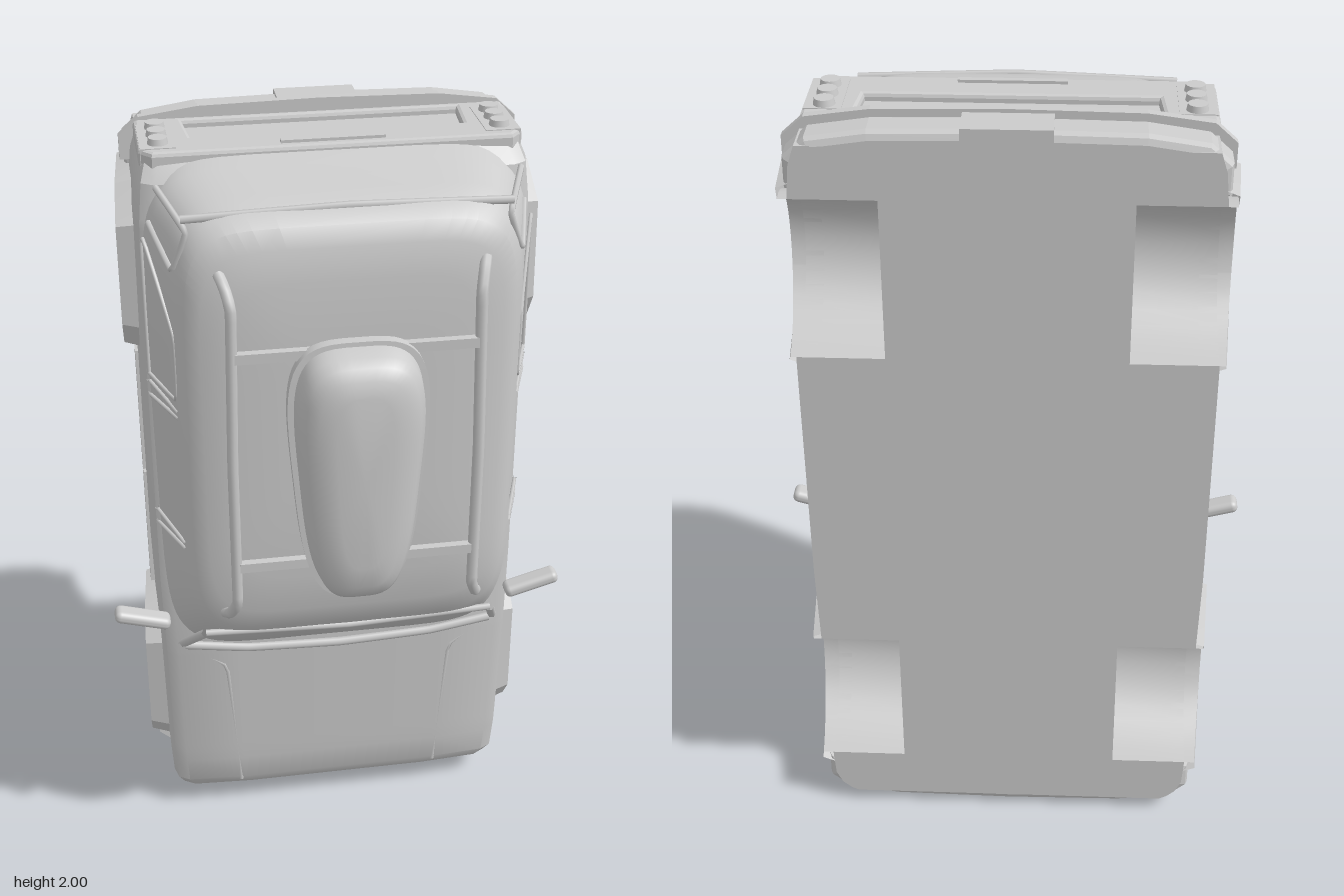
import * as THREE from 'three';
import { toCreasedNormals } from 'three/addons/utils/BufferGeometryUtils.js';
import { RoundedBoxGeometry } from 'three/addons/geometries/RoundedBoxGeometry.js';

const mat = new THREE.MeshStandardMaterial({ color: 0xcccccc });
const thin = new THREE.MeshStandardMaterial({ color: 0xcccccc, side: THREE.DoubleSide });
const V = (x, y, z) => new THREE.Vector3(x, y, z);

function add(parent, name, geo, x = 0, y = 0, z = 0, material = mat) {
  const m = new THREE.Mesh(geo, material);
  m.name = name;
  m.position.set(x, y, z);
  parent.add(m);
  return m;
}

// Skin a list of rings; closed rings get end caps and outward winding.
function loft(rings, closed = true, crease = 0.6) {
  const n = rings[0].length, pts = rings.flat(), idx = [];
  for (let i = 0; i < rings.length - 1; i++) {
    for (let j = 0; j < (closed ? n : n - 1); j++) {
      const k = (j + 1) % n, a = i * n + j, b = i * n + k;
      idx.push(a, b, b + n, a, b + n, a + n);
    }
  }
  if (closed) {
    const cap = (r, base, flip) => {
      const c = pts.push(r.reduce((s, p) => s.add(p), V(0, 0, 0)).divideScalar(n)) - 1;
      for (let j = 0; j < n; j++) {
        const a = base + j, b = base + (j + 1) % n;
        idx.push(c, flip ? b : a, flip ? a : b);
      }
    };
    cap(rings[0], 0, true);
    cap(rings[rings.length - 1], (rings.length - 1) * n, false);
    let vol = 0;
    for (let i = 0; i < idx.length; i += 3) {
      vol += pts[idx[i]].dot(pts[idx[i + 1]].clone().cross(pts[idx[i + 2]]));
    }
    if (vol < 0) idx.reverse();
  }
  const g = new THREE.BufferGeometry().setFromPoints(pts);
  g.setIndex(idx);
  return toCreasedNormals(g, crease);
}

// Superellipse ring at height z; taper narrows the low-y end.
function softRect(z, y0, y1, hw, n, taper = 0, count = 64) {
  const f = (v) => Math.sign(v) * Math.abs(v) ** (2 / n);
  return Array.from({ length: count }, (_, i) => {
    const t = (i + 0.5) / count * Math.PI * 2, v = f(Math.sin(t));
    return V(hw * f(Math.cos(t)) * (1 - taper * (1 - v) / 2), (y0 + y1) / 2 + v * (y1 - y0) / 2, z);
  });
}

const tube = (pts, r, sides = 6) =>
  new THREE.TubeGeometry(new THREE.CatmullRomCurve3(pts, false, 'catmullrom', 0.1), pts.length * 6, r, sides);
const shapeOf = (pts) => new THREE.Shape(pts.map(([x, y]) => new THREE.Vector2(x, y)));
const extrude = (shape, depth, bevel = 0) => new THREE.ExtrudeGeometry(shape, {
  depth, bevelEnabled: bevel > 0, bevelSize: bevel, bevelThickness: bevel, bevelOffset: -bevel, bevelSegments: 2,
});

// Lower body: sections along the length, raised over each wheel.
const wheels = [0.375, 1.62];
function lowerBody() {
  const keys = [[0.035, 0.41, -0.1], [0.045, 0.43, -0.06], [0.065, 0.452, -0.035], [0.1, 0.468, -0.015], [0.2, 0.474, -0.008],
    [0.58, 0.48, 0.008], [0.8, 0.485, 0], [1.4, 0.485, 0], [1.8, 0.48, 0], [1.9, 0.47, -0.01], [1.945, 0.455, -0.05]];
  const at = (y) => {
    const i = Math.max(0, Math.min(keys.length - 2, keys.findIndex((k) => k[0] >= y) - 1));
    const [a, b] = [keys[i], keys[i + 1]], t = (y - a[0]) / (b[0] - a[0]);
    return [a[1] + (b[1] - a[1]) * t, a[2] + (b[2] - a[2]) * t];
  };
  const stations = keys.map((k) => [k[0], -0.4]).filter(([y]) => wheels.every((c) => Math.abs(y - c) > 0.2));
  for (const c of wheels) {
    for (let i = 0; i <= 16; i++) {
      const t = i / 16 * Math.PI;
      stations.push([c - 0.2 * Math.cos(t), -0.4 + 0.22 * Math.sin(t)]);
    }
  }
  stations.sort((a, b) => a[0] - b[0]);
  return loft(stations.map(([y, arch]) => {
    const [w, top] = at(y);
    const half = [[0.28, -0.4], [0.28, arch], [w, arch], [w, top - 0.06], [w - 0.01, top - 0.022], [w - 0.04, top - 0.004], [w - 0.2, top + 0.006]];
    return [...half, ...half.slice().reverse().map(([x, z]) => [-x, z])].map(([x, z]) => V(x, y, z));
  }), true, 0.5);
}

// Wheel-arch flare: angular outline stepping in to the round opening.
function flare(yc, outline) {
  const corner = outline.map(([y, z]) => Math.atan2(z + 0.4, y));
  const angles = [...corner, ...Array.from({ length: 19 }, (_, i) => i / 18 * Math.PI)].sort((a, b) => a - b);
  const radius = (t) => {
    let r = Infinity;
    for (let i = 0; i < outline.length - 1; i++) {
      const [y0, z0] = outline[i], [y1, z1] = outline[i + 1];
      const ny = z1 - z0, nz = y0 - y1;
      const s = (y0 * ny + (z0 + 0.4) * nz) / (Math.cos(t) * ny + Math.sin(t) * nz);
      if (s > 0) r = Math.min(r, s);
    }
    return r;
  };
  const ring = (x, ry, rz, k) => angles.map((t) => {
    const r = k ? radius(t) * k : 0;
    const z = -0.4 + Math.sin(t) * (k ? r : rz);
    return V(x - (x > 0.5 ? 0.08 * (-0.11 - z) : 0), yc + Math.cos(t) * (k ? r : ry), z);
  });
  return loft([ring(0.465, 0, 0, 1), ring(0.524, 0, 0, 0.94), ring(0.522, 0.2, 0.22), ring(0.44, 0.2, 0.22)], false, 0.5);
}

function addSide(side) {
  const outlines = [
    [[-0.235, -0.4], [-0.185, -0.13], [-0.125, -0.09], [0.165, -0.09], [0.235, -0.15], [0.22, -0.4]],
    [[-0.22, -0.4], [-0.19, -0.13], [-0.12, -0.09], [0.15, -0.1], [0.23, -0.2], [0.24, -0.4]],
  ];
  wheels.forEach((c, i) => add(side, i ? 'rearFlare' : 'frontFlare', flare(c, outlines[i]), 0, 0, 0, thin));
  // Door moulding in two lengths
  for (const y of [0.815, 1.18]) add(side, 'doorMoulding', new THREE.BoxGeometry(0.018, 0.355, 0.035), 0.484, y, -0.278);
  // Window pillars and frame
  const pane = (y, z) => V(0.474 - 0.355 * z, y, z);
  for (const y of [1.02, 1.39]) {
    for (const d of [-0.02, 0.02]) add(side, 'windowPillar', tube([pane(y + d, 0.0), pane(y + d * 0.4, 0.17)], 0.005));
  }
  add(side, 'quarterWindowFrame', tube([pane(1.43, 0.01), pane(1.43, 0.165), pane(1.6, 0.165), pane(1.78, 0.03), pane(1.78, 0.01), pane(1.43, 0.01)], 0.005));
  add(side, 'rearPillarFrame', tube([V(0.45, 1.82, 0.01), V(0.41, 1.76, 0.16), V(0.375, 1.855, 0.175), V(0.43, 1.915, 0.04)], 0.008));
  add(side, 'windscreenPillar', tube([V(0.43, 0.605, 0.01), V(0.375, 0.755, 0.18)], 0.012));
  // Door mirror
  const mirror = add(side, 'doorMirror', new RoundedBoxGeometry(0.15, 0.034, 0.055, 3, 0.015), 0.53, 0.712, 0.022);
  mirror.rotation.z = 0.28;
  // Roof rail with bent feet
  add(side, 'roofRail', tube([V(0.325, 0.84, 0.215), V(0.315, 0.86, 0.25), V(0.298, 0.91, 0.275), V(0.298, 1.3, 0.278),
    V(0.29, 1.7, 0.275), V(0.3, 1.75, 0.25), V(0.31, 1.77, 0.22)], 0.014, 8));
  // Tail lamp: housing and three round lenses
  add(side, 'tailLampHousing', new THREE.BoxGeometry(0.085, 0.05, 0.175), 0.413, 1.942, -0.16);
  for (const z of [-0.22, -0.165, -0.11]) add(side, 'tailLens', new THREE.CylinderGeometry(0.022, 0.026, 0.02, 20), 0.411, 1.972, z);
  // Paired headlamps
  for (const x of [0.27, 0.36]) add(side, 'headlamp', new THREE.CylinderGeometry(0.04, 0.034, 0.03, 24), x, 0.036, -0.155);
  // Bonnet crease
  add(side, 'bonnetCrease', tube([V(0.39, 0.565, -0.002), V(0.31, 0.51, 0.006), V(0.28, 0.09, -0.014)], 0.006));
}

// Bumper: chamfered plan shape with a protruding rub strip.
function addBumper(parent, name, rear) {
  const m = (y) => rear ? 1.998 - y : y;
  const plan = (w, y0, y1) => shapeOf([[-w, m(y1)], [-w, m(0.07 + y0)], [-w + 0.05, m(0.025 + y0)], [-0.3, m(0.005 + y0)], [0, m(y0)],
    [0.3, m(0.005 + y0)], [w - 0.05, m(0.025 + y0)], [w, m(0.07 + y0)], [w, m(y1)]]);
  add(parent, name, extrude(plan(0.485, 0.014, 0.16), 0.06, 0.02), 0, 0, -0.38);
  add(parent, name + 'Strip', extrude(plan(0.497, 0, 0.13), 0.022), 0, 0, -0.308);
}

export function createModel() {
  const car = new THREE.Group();
  car.name = 'car';
  add(car, 'lowerBody', lowerBody());

  // Cabin: stacked soft rectangles leaning in to the roof
  const cabin = [[-0.06, 0.6, 1.955, 0.474], [0, 0.59, 1.937, 0.474], [0.02, 0.6, 1.93, 0.468], [0.1, 0.668, 1.91, 0.44],
    [0.175, 0.735, 1.888, 0.413], [0.205, 0.775, 1.865, 0.394], [0.225, 0.835, 1.82, 0.36], [0.236, 0.94, 1.74, 0.29], [0.242, 1.1, 1.6, 0.18]];
  add(car, 'cabin', loft(cabin.map(([z, a, b, w]) => softRect(z, a, b, w, 7, z < 0.15 ? 0.03 : 0)), true, 0.5));
  add(car, 'windscreenSill', tube([V(-0.42, 0.6, 0.01), V(-0.25, 0.578, 0.017), V(0, 0.57, 0.02), V(0.25, 0.578, 0.017), V(0.42, 0.6, 0.01)], 0.012));
  add(car, 'windscreenHeader', tube([V(-0.375, 0.757, 0.182), V(0, 0.745, 0.186), V(0.375, 0.757, 0.182)], 0.009));
  add(car, 'rearWindowLip', tube([V(-0.385, 1.88, 0.155), V(0, 1.892, 0.16), V(0.385, 1.88, 0.155)], 0.01));

  // Tail panel with plate recess and handle
  const panel = shapeOf([[-0.46, -0.3], [0.46, -0.3], [0.46, -0.08], [0.43, -0.045], [-0.43, -0.045], [-0.46, -0.08]]);
  panel.holes.push(new THREE.Path([[-0.34, -0.27], [-0.33, -0.15], [0.33, -0.15], [0.34, -0.27]].map(([x, y]) => new THREE.Vector2(x, y))));
  add(car, 'tailPanel', extrude(panel, 0.025, 0.01).rotateX(Math.PI / 2), 0, 1.955, 0);
  add(car, 'tailHandle', new THREE.BoxGeometry(0.25, 0.02, 0.016), 0, 1.962, -0.075);

  // Bumpers and tow cover
  addBumper(car, 'frontBumper', false);
  addBumper(car, 'rearBumper', true);
  add(car, 'towCover', new THREE.BoxGeometry(0.2, 0.06, 0.09), 0, 1.96, -0.355);

  // Grille frame and slats
  const grille = shapeOf([[-0.42, -0.22], [0.42, -0.22], [0.42, -0.1], [-0.42, -0.1]]);
  grille.holes.push(new THREE.Path([[-0.2, -0.205], [-0.2, -0.115], [0.2, -0.115], [0.2, -0.205]].map(([x, y]) => new THREE.Vector2(x, y))));
  add(car, 'grilleFrame', extrude(grille, 0.025).rotateX(Math.PI / 2), 0, 0.05, 0);
  for (const z of [-0.182, -0.16, -0.138]) add(car, 'grilleSlat', new THREE.BoxGeometry(0.4, 0.015, 0.008), 0, 0.033, z);

  // Roof crossbars and cargo box
  for (const y of [1.015, 1.585]) add(car, 'roofCrossbar', new THREE.BoxGeometry(0.58, 0.025, 0.02), 0, y, 0.278);
  const box = [[0.278, 0.92, 1.618, 0.188], [0.305, 0.92, 1.618, 0.188], [0.306, 0.935, 1.607, 0.172], [0.35, 0.945, 1.6, 0.166],
    [0.375, 0.965, 1.585, 0.15], [0.393, 1.0, 1.56, 0.12], [0.402, 1.06, 1.52, 0.075]];
  add(car, 'cargoBox', loft(box.map(([z, a, b, w]) => softRect(z, a, b, w, 3.6, 0.32)), true, 0.7));

  // Matching flanks
  for (const s of [1, -1]) {
    const side = new THREE.Group();
    side.name = s > 0 ? 'leftSide' : 'rightSide';
    side.scale.x = s;
    addSide(side);
    car.add(side);
  }
  return car;
}
